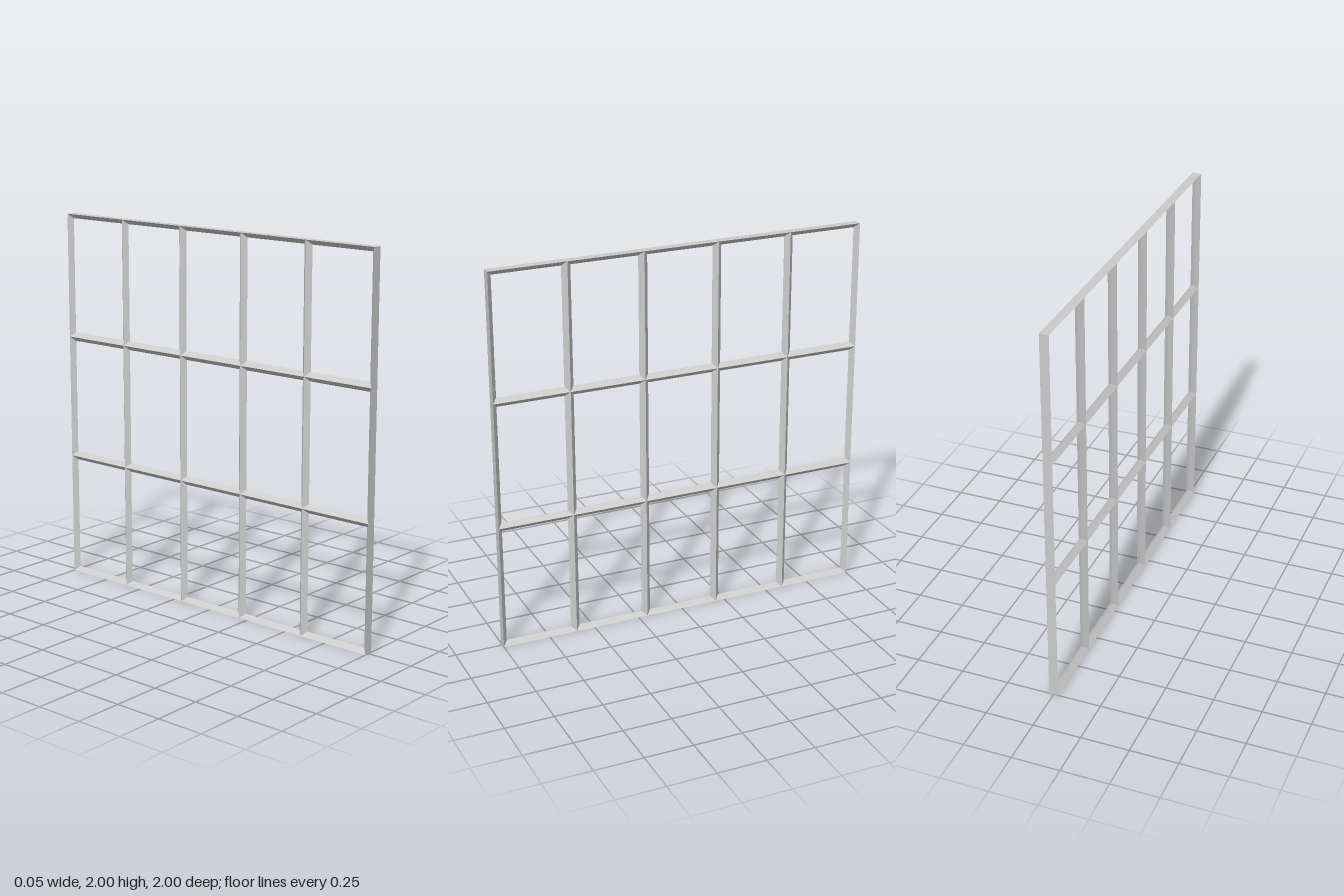
import * as THREE from 'three';

const HALF = 0.024;   // half width of a bar's diamond section
const COLS = 5, ROWS = 3;

export function createModel() {
  const group = new THREE.Group();
  group.name = 'windowLattice';
  const material = new THREE.MeshStandardMaterial({ color: 0xcccccc, flatShading: true });

  // Diamond-section bar; border bars are cut flat at the outer edge of the lattice.
  // Ends are open because they always lie in the flat face of a border bar.
  function addBar(name, offset, horizontal) {
    let geo = new THREE.CylinderGeometry(HALF, HALF, 2, 4, 1, true);
    if (horizontal) geo.rotateX(Math.PI / 2).translate(0, offset, 0);
    else geo.translate(0, 1, offset);
    const p = geo.attributes.position;
    for (let i = 0; i < p.count; i++) {
      p.setY(i, THREE.MathUtils.clamp(p.getY(i), 0, 2));
      p.setZ(i, THREE.MathUtils.clamp(p.getZ(i), -1, 1));
    }
    geo = geo.toNonIndexed();
    geo.computeVertexNormals();
    const mesh = new THREE.Mesh(geo, material);
    mesh.name = name;
    group.add(mesh);
  }

  // Upright bars, back to front
  for (let i = 0; i <= COLS; i++) {
    const border = i === 0 || i === COLS;
    addBar(border ? 'endPost' : 'upright', -1 + (2 * i) / COLS, false);
  }
  // Rails, bottom to top
  for (let j = 0; j <= ROWS; j++) {
    const name = j === 0 ? 'bottomRail' : j === ROWS ? 'topRail' : 'crossRail';
    addBar(name, (2 * j) / ROWS, true);
  }
  return group;
}
